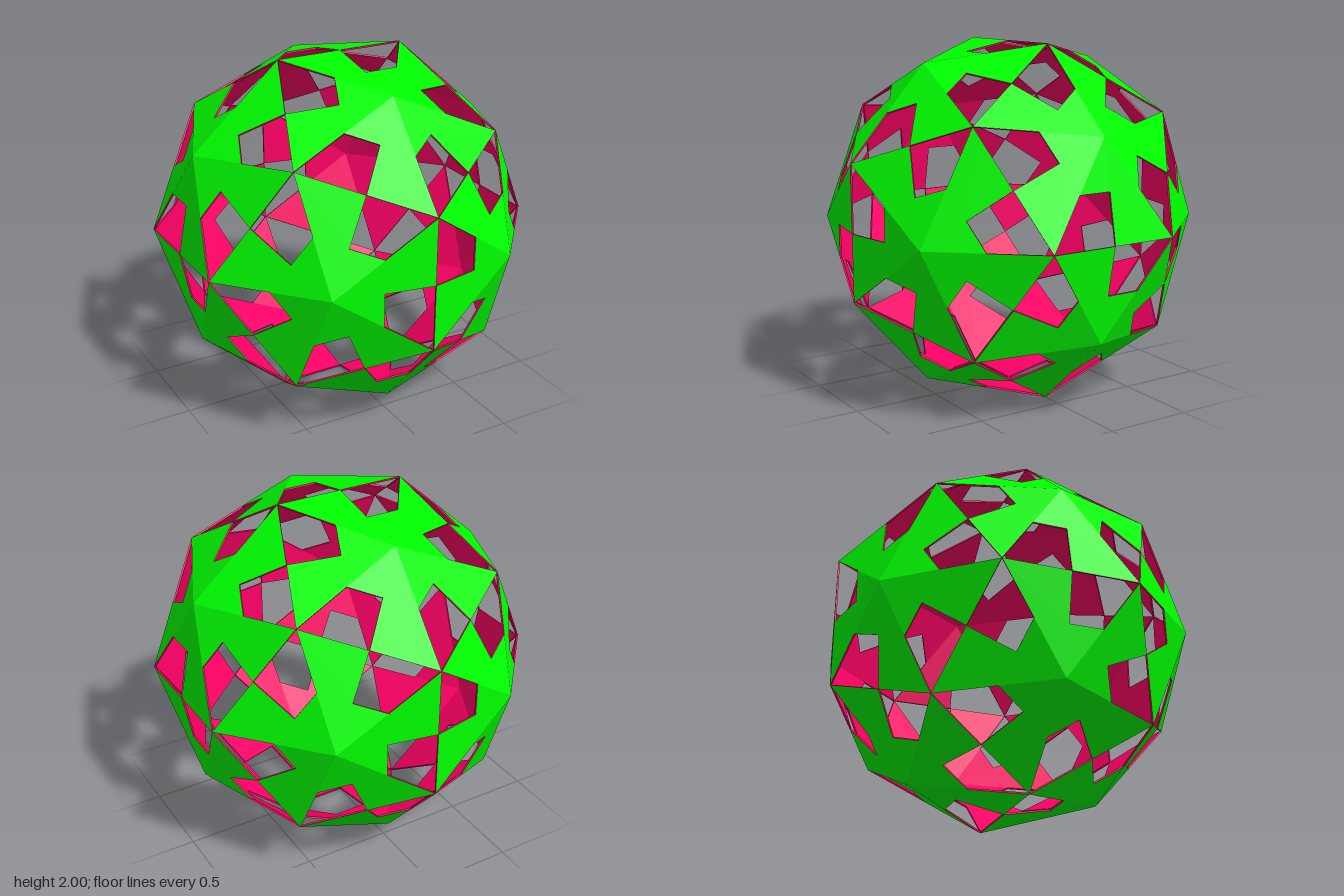
import * as THREE from 'three';

const PHI = (1 + Math.sqrt(5)) / 2;
const SHELL = 0.99; // inner skin, relative to the outer one

// All sign combinations and cyclic shifts of (0, a, b)
function cyclicPoints(a, b) {
  const points = [];
  for (const s of [1, -1]) for (const t of [1, -1]) {
    points.push(
      new THREE.Vector3(0, s * a, t * b),
      new THREE.Vector3(t * b, 0, s * a),
      new THREE.Vector3(s * a, t * b, 0)
    );
  }
  return points;
}

// Twenty dodecahedron corners
function dodecahedronCorners() {
  const corners = cyclicPoints(1 / PHI ** 2, 1);
  const c = 1 / PHI;
  for (const x of [c, -c]) for (const y of [c, -c]) for (const z of [c, -c]) {
    corners.push(new THREE.Vector3(x, y, z));
  }
  return corners;
}

// The five corners around a pyramid apex, counter-clockwise from outside
function ringAround(apex, corners) {
  const n = apex.clone().normalize();
  const ring = [...corners].sort((p, q) => q.dot(n) - p.dot(n)).slice(0, 5);
  const u = ring[0].clone().projectOnPlane(n).normalize();
  const v = n.clone().cross(u);
  const angle = (p) => Math.atan2(p.dot(v), p.dot(u));
  return ring.sort((p, q) => angle(p) - angle(q));
}

const mid = (p, q) => p.clone().lerp(q, 0.5);

function toGeometry(points) {
  const geometry = new THREE.BufferGeometry().setFromPoints(points);
  geometry.computeVertexNormals();
  return geometry;
}

export function createModel() {
  const model = new THREE.Group();
  model.name = 'perforatedBall';
  const green = new THREE.MeshStandardMaterial({ color: 0x00ff00, flatShading: true });
  const pink = new THREE.MeshStandardMaterial({ color: 0xff0066, flatShading: true });

  const corners = dodecahedronCorners();
  const apexOffset = 0.552;

  for (const apex of cyclicPoints(apexOffset * PHI, apexOffset)) {
    const ring = ringAround(apex, corners);
    const outer = [];
    const inner = [];

    ring.forEach((b, i) => {
      // Triangle with the kite at corner b cut away
      const c = ring[(i + 1) % 5];
      const base = mid(b, c);
      const outline = [apex, mid(apex, b), mid(apex, base), base, c];
      const inside = outline.map((p) => p.clone().multiplyScalar(SHELL));

      for (const [p, q, r] of [[0, 1, 2], [0, 2, 4], [2, 3, 4]]) {
        outer.push(outline[p], outline[q], outline[r]);
        inner.push(inside[p], inside[r], inside[q]);
      }
      // Thin rim joining the two skins
      outline.forEach((p, k) => {
        const n = (k + 1) % outline.length;
        inner.push(p, inside[k], outline[n], outline[n], inside[k], inside[n]);
      });
    });

    const pyramid = new THREE.Group();
    pyramid.name = 'pentagonPyramid';
    const outerSkin = new THREE.Mesh(toGeometry(outer), green);
    outerSkin.name = 'outerSkin';
    const innerSkin = new THREE.Mesh(toGeometry(inner), pink);
    innerSkin.name = 'innerSkinAndRim';
    pyramid.add(outerSkin, innerSkin);
    model.add(pyramid);
  }

  model.position.y = 1;
  return model;
}
